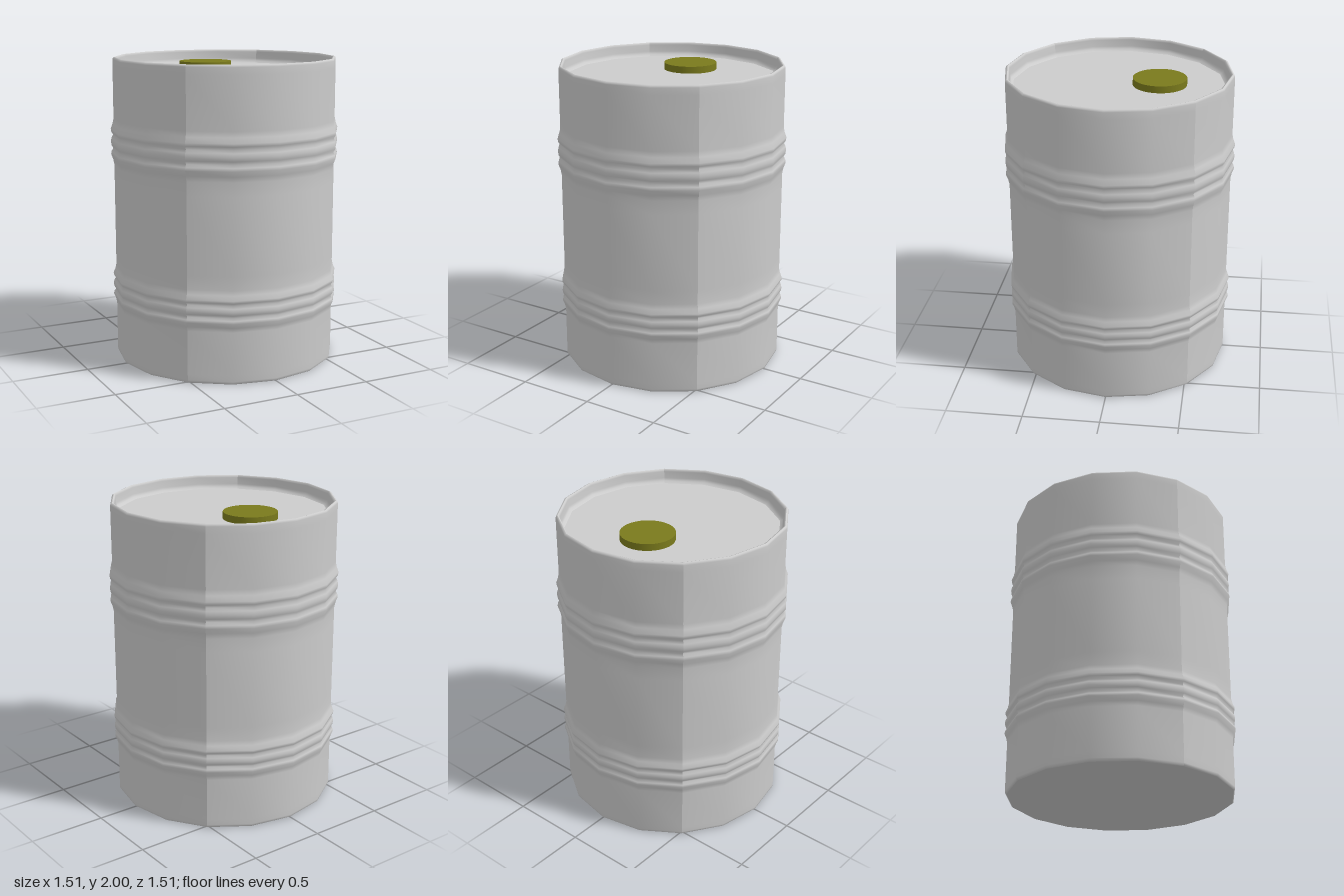
import * as THREE from 'three';

const SIDES = 16;
const R = 0.735; // wall radius at the corners
const LID_Y = 1.91;

// Three rounded ridges stacked about height y, listed upwards
function ridges(y, s) {
  return [
    [-0.155, R], [-0.12, 0.742], [-0.085, 0.755], [-0.065, 0.752], [-0.045, 0.74], [-0.025, 0.751], [0, 0.755],
    [0.025, 0.751], [0.045, 0.74], [0.065, 0.752], [0.085, 0.755], [0.12, 0.742], [0.155, R],
  ].map(([dy, r]) => [r, y + dy * s]);
}

// A profile turned in four quarter panels, smooth inside and creased at the seams
function turned(name, profile, material) {
  const group = new THREE.Group();
  group.name = name;
  const points = profile.map(([r, y]) => new THREE.Vector2(r, y));
  for (let i = 0; i < 4; i++) {
    const start = Math.PI / 4 + i * Math.PI / 2;
    const geometry = new THREE.LatheGeometry(points, SIDES / 4, start, Math.PI / 2);
    geometry.computeVertexNormals();
    const panel = new THREE.Mesh(geometry, material);
    panel.name = name + 'Panel';
    group.add(panel);
  }
  return group;
}

export function createModel() {
  const model = new THREE.Group();
  model.name = 'barrel';
  const grey = new THREE.MeshStandardMaterial({ color: 0xcccccc });
  const olive = new THREE.MeshStandardMaterial({ color: 0x7a7a1c });

  // Outer wall with two bands of ridges
  model.add(turned('wall', [
    [0.725, 0], [0.733, 0.006], [R, 0.02], [R, 0.06],
    ...ridges(0.477, 0.87),
    [R, 0.7], [R, 1.2],
    ...ridges(1.445, 1),
    [R, 1.94], [R, 1.985], [0.731, 1.996], [0.722, 2],
  ], grey));

  // Rolled lip and the inside of the rim, down to the lid
  model.add(turned('rim', [
    [0.722, 2], [0.714, 1.997], [0.71, 1.985], [0.708, 1.94], [0.702, 1.922], [0.685, LID_Y],
  ], grey));

  // Recessed lid and flat bottom, with corners matching the wall
  const lid = new THREE.Mesh(new THREE.CircleGeometry(0.685, SIDES), grey);
  lid.name = 'lid';
  lid.rotation.x = -Math.PI / 2;
  lid.position.y = LID_Y;
  const base = new THREE.Mesh(new THREE.CircleGeometry(0.725, SIDES), grey);
  base.name = 'base';
  base.rotation.x = Math.PI / 2;

  // Filler cap, set towards the back
  const cap = new THREE.Mesh(new THREE.CylinderGeometry(0.174, 0.174, 0.05, 32), olive);
  cap.name = 'fillerCap';
  cap.position.set(-0.017, LID_Y + 0.02, -0.26);

  model.add(lid, base, cap);
  return model;
}
